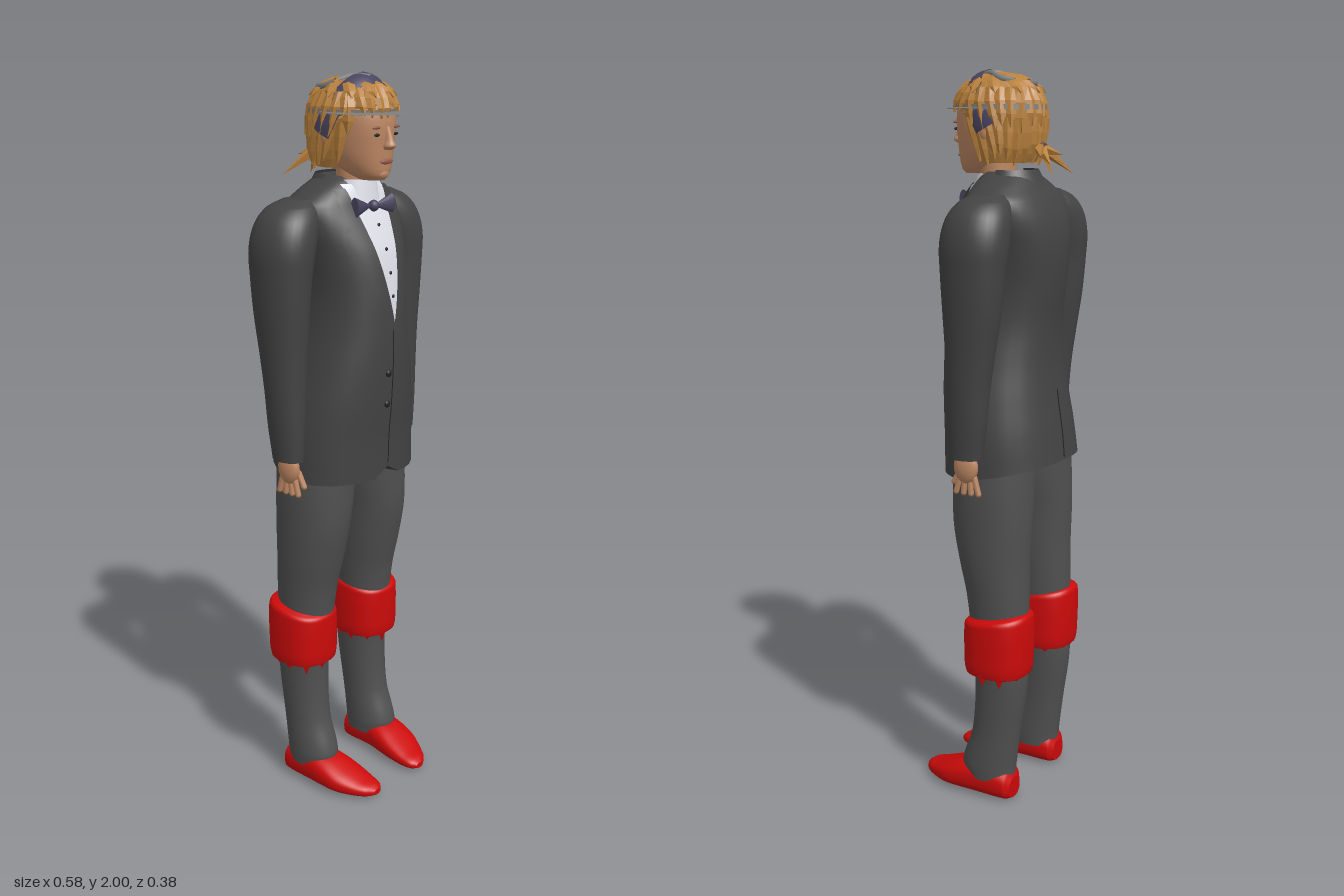
import * as THREE from 'three';
import { mergeGeometries } from 'three/addons/utils/BufferGeometryUtils.js';

const mat = (name, color, side = THREE.DoubleSide) => new THREE.MeshStandardMaterial({ name, color, side });

// Grid surface from f(u, v); closed wraps u, capped fills both ends
function sheet(nu, nv, f, closed = false, capped = false) {
  const n = closed ? nu : nu + 1, pos = [], idx = [];
  for (let j = 0; j <= nv; j++) for (let i = 0; i < n; i++) pos.push(...f(i / nu, j / nv));
  for (let j = 0; j < nv; j++) for (let i = 0; i < nu; i++) {
    const a = j * n + i, b = j * n + (i + 1) % n;
    idx.push(a, b, b + n, a, b + n, a + n);
  }
  if (capped) for (const j of [0, nv]) {
    const start = pos.length / 3, c = [0, 0, 0];
    for (let i = 0; i < nu; i++) {
      const p = pos.slice((j * n + i) * 3, (j * n + i) * 3 + 3);
      p.forEach((q, k) => { c[k] += q / nu; });
      pos.push(...p);
    }
    pos.push(...c);
    for (let i = 0; i < nu; i++) {
      const a = start + i, b = start + (i + 1) % nu;
      idx.push(start + nu, ...(j ? [a, b] : [b, a]));
    }
  }
  const g = new THREE.BufferGeometry();
  g.setAttribute('position', new THREE.Float32BufferAttribute(pos, 3));
  g.setIndex(idx);
  g.computeVertexNormals();
  return g;
}

// Smoothly interpolated cross-section [y, cx, cz, rx, rz]
function at(secs, y) {
  const last = secs.length - 1;
  y = Math.min(Math.max(y, secs[0][0]), secs[last][0]);
  let i = 0;
  while (i < last - 1 && y > secs[i + 1][0]) i++;
  const h = secs[i + 1][0] - secs[i][0], t = (y - secs[i][0]) / h;
  const slope = (j, k) => {
    const a = secs[Math.max(j - 1, 0)], b = secs[Math.min(j + 1, last)];
    return (b[k] - a[k]) / (b[0] - a[0]);
  };
  return secs[i].map((p, k) => k === 0 ? y : p * (1 + 2 * t) * (1 - t) ** 2 + secs[i + 1][k] * t * t * (3 - 2 * t)
    + h * slope(i, k) * t * (1 - t) ** 2 - h * slope(i + 1, k) * t * t * (1 - t));
}
const pw = (v, n) => Math.sign(v) * Math.abs(v) ** (2 / n);
function ring(secs, y, a, n = 2, grow = 0) {
  const [, cx, cz, rx, rz] = at(secs, y);
  return [cx + (rx + grow) * pw(Math.sin(a), n), y, cz + (rz + grow) * pw(Math.cos(a), n)];
}
function loft(secs, n = 2, rows = 5) {
  const m = secs.length - 1;
  return sheet(32, m * rows, (u, v) => {
    const i = Math.min(Math.floor(v * m + 1e-6), m - 1), t = v * m - i;
    return ring(secs, secs[i][0] + (secs[i + 1][0] - secs[i][0]) * t, u * Math.PI * 2, n);
  }, true, true);
}
// Rows [y, halfWidth, frontZ, backZ] as sections
const fb = rows => rows.map(([y, rx, f, b]) => [y, 0, (f + b) / 2, rx, (f - b) / 2]);
const flip = (secs, s) => secs.map(([y, cx, ...r]) => [y, cx * s, ...r]);
function surfaceZ(secs, x, y, n = 2, dir = 1) {
  const [, cx, cz, rx, rz] = at(secs, y);
  return cz + dir * rz * Math.max(0, 1 - Math.min(1, Math.abs((x - cx) / rx)) ** n) ** (1 / n);
}
// Thin panel lying on a body between x edges lo(y) and hi(y)
function panel(secs, y0, y1, lo, hi, off, n, dir = 1) {
  return sheet(8, 32, (u, v) => {
    const y = y0 + (y1 - y0) * v, x = dir > 0 ? lo(y) + (hi(y) - lo(y)) * u : hi(y) + (lo(y) - hi(y)) * u;
    return [x, y, surfaceZ(secs, x, y, n, dir) + off * dir];
  });
}
const blob = (x, y, z, rx, ry, rz) => new THREE.SphereGeometry(1, 16, 10).scale(rx, ry, rz).translate(x, y, z);
function spike(from, to, r, sides = 4) {
  const a = new THREE.Vector3(...from), d = new THREE.Vector3(...to).sub(a), len = d.length();
  const q = new THREE.Quaternion().setFromUnitVectors(new THREE.Vector3(0, 1, 0), d.normalize());
  return new THREE.ConeGeometry(r, len, sides).translate(0, len / 2, 0).applyQuaternion(q).translate(...from);
}
const flat = g => { const f = g.index ? g.toNonIndexed() : g; f.deleteAttribute('uv'); f.computeVertexNormals(); return f; };

const TORSO = fb([[0.94, 0.205, 0.14, -0.19], [1.05, 0.2, 0.142, -0.18], [1.15, 0.185, 0.15, -0.165], [1.25, 0.162, 0.155, -0.155],
  [1.35, 0.14, 0.155, -0.157], [1.45, 0.133, 0.148, -0.17], [1.55, 0.148, 0.128, -0.175], [1.62, 0.17, 0.098, -0.163],
  [1.67, 0.175, 0.072, -0.14], [1.7, 0.14, 0.062, -0.118], [1.73, 0.088, 0.05, -0.095], [1.742, 0.066, 0.035, -0.08]]);
const HEAD = fb([[1.735, 0.028, 0.115, 0.04], [1.75, 0.048, 0.124, 0], [1.78, 0.067, 0.128, -0.05], [1.82, 0.079, 0.131, -0.085],
  [1.87, 0.085, 0.134, -0.095], [1.91, 0.085, 0.128, -0.1], [1.95, 0.074, 0.105, -0.085], [1.98, 0.03, 0.05, -0.03]]);
const HAIR = fb([[1.75, 0.078, 0.05, -0.075], [1.8, 0.092, 0.085, -0.1], [1.86, 0.098, 0.115, -0.11], [1.91, 0.099, 0.13, -0.11],
  [1.95, 0.086, 0.118, -0.095], [1.975, 0.063, 0.093, -0.07], [1.99, 0.034, 0.058, -0.03], [1.995, 0.006, 0.025, 0.01]]);
const ARM = [[1.01, 0.226, -0.015, 0.034, 0.047], [1.1, 0.226, -0.02, 0.041, 0.055], [1.2, 0.224, -0.024, 0.049, 0.06], [1.3, 0.223, -0.03, 0.055, 0.069],
  [1.4, 0.222, -0.035, 0.063, 0.08], [1.5, 0.22, -0.037, 0.07, 0.088], [1.57, 0.213, -0.038, 0.077, 0.093], [1.63, 0.196, -0.039, 0.077, 0.086],
  [1.67, 0.172, -0.04, 0.068, 0.066], [1.69, 0.15, -0.04, 0.045, 0.04]];
const LEG = [[0.06, 0.127, -0.03, 0.058, 0.075], [0.1, 0.127, -0.028, 0.06, 0.08], [0.2, 0.126, -0.05, 0.058, 0.07], [0.35, 0.124, -0.065, 0.062, 0.076],
  [0.45, 0.122, -0.06, 0.067, 0.08], [0.6, 0.12, -0.052, 0.076, 0.089], [0.7, 0.118, -0.04, 0.084, 0.1], [0.8, 0.115, -0.032, 0.089, 0.112],
  [0.9, 0.107, -0.03, 0.097, 0.115], [1, 0.1, -0.03, 0.098, 0.115]];
const CUFF = [[0.38, 0.13, -0.06, 0.068, 0.076], [0.388, 0.13, -0.06, 0.084, 0.089], [0.45, 0.13, -0.061, 0.088, 0.094],
  [0.53, 0.13, -0.061, 0.087, 0.094], [0.545, 0.13, -0.06, 0.082, 0.089], [0.552, 0.13, -0.06, 0.066, 0.075]];
// Shoe sections run heel to toe before being laid down
const SHOE = [[-0.11, 0.13, -0.037, 0.03, 0.03], [-0.095, 0.13, -0.046, 0.048, 0.043], [0, 0.13, -0.051, 0.055, 0.048], [0.05, 0.126, -0.046, 0.06, 0.043],
  [0.1, 0.12, -0.036, 0.06, 0.033], [0.15, 0.108, -0.026, 0.047, 0.022], [0.18, 0.1, -0.022, 0.033, 0.015], [0.195, 0.096, -0.019, 0.014, 0.008]];

export function createModel() {
  const model = new THREE.Group();
  model.name = 'figure';
  const jacket = mat('charcoal jacket', 0x434343), trouser = mat('grey trousers', 0x505050), red = mat('red', 0xcc0a0a);
  const skin = mat('skin', 0xbd8763), hair = mat('golden hair', 0xb8803c), shirt = mat('white shirt', 0xdcdce6);
  const purple = mat('muted purple', 0x48445f), grey = mat('grey', 0x7c7c7c), dark = mat('dark trim', 0x222222), lip = mat('lips', 0x955c4b);
  const add = (name, geo, m) => { const mesh = new THREE.Mesh(geo, m); mesh.name = name; model.add(mesh); return mesh; };
  const merge = list => mergeGeometries(list.map(flat));
  let seed = 7;
  const rnd = () => (seed = (seed * 16807) % 2147483647) / 2147483647;

  // Jacket with a hem that rises at the back and at the front opening
  const body = loft(TORSO, 2.3), p = body.attributes.position;
  for (let i = 0; i < p.count; i++) {
    const x = p.getX(i), y = p.getY(i), z = p.getZ(i), k = Math.max(0, 1 - (y - 0.94) / 0.1);
    p.setY(i, y + k * (z < 0 ? -z * 0.2 : 0.03 * Math.exp(-((x / 0.03) ** 2))));
  }
  body.computeVertexNormals();
  add('jacketBody', body, jacket);
  add('jacketVent', panel(TORSO, 0.985, 1.17, () => -0.003, () => 0.003, 0.003, 2.3, -1), dark);
  add('jacketOpening', panel(TORSO, 0.98, 1.36, () => -0.002, () => 0.002, 0.002, 2.3), dark);
  const collarRows = fb([[1.695, 0.1, 0.03, -0.12], [1.745, 0.074, 0.03, -0.092]]);
  add('jacketCollar', sheet(24, 3, (u, v) => ring(collarRows, 1.695 + 0.052 * v, Math.PI * (0.42 + 1.16 * u))), jacket);

  // Shirt front, lapels, studs and buttons
  const gap = y => Math.max(0, 0.072 * (y - 1.36) / 0.35);
  add('shirtFront', panel(TORSO, 1.36, 1.725, y => -gap(y), gap, 0.005, 2.3), shirt);
  const lapel = y => gap(y) + (y < 1.6 ? 0.07 * Math.min(1, (y - 1.32) / 0.26) : y < 1.625 ? 0.07 - 1.2 * (y - 1.6) : 0.055 - 0.3 * (y - 1.625));
  for (const s of [1, -1]) {
    add('lapel', panel(TORSO, 1.32, 1.715, y => s > 0 ? gap(y) : -lapel(y), y => s > 0 ? lapel(y) : -gap(y), 0.009, 2.3), jacket);
  }
  for (const y of [1.235, 1.15]) add('jacketButton', blob(-0.015, y, surfaceZ(TORSO, 0, y, 2.3), 0.01, 0.01, 0.006), dark);
  for (const y of [1.44, 1.5, 1.56, 1.62]) add('shirtStud', blob(0, y, surfaceZ(TORSO, 0, y, 2.3) + 0.005, 0.005, 0.005, 0.003), dark);
  add('shirtCollar', loft([[1.68, 0, 0.02, 0.068, 0.062], [1.735, 0, 0.02, 0.057, 0.052]]), shirt);

  // Bow tie
  for (const s of [1, -1]) {
    add('bowWing', new THREE.ConeGeometry(0.027, 0.068, 12).scale(1, 1, 0.5).rotateZ(s * Math.PI / 2).translate(s * 0.037, 1.668, 0.083), purple);
  }
  add('bowKnot', blob(0, 1.668, 0.085, 0.015, 0.015, 0.015), purple);

  // Limbs, mirrored
  for (const s of [1, -1]) {
    add('sleeve', loft(flip(ARM, s), 2.1), jacket);
    add('trouserLeg', loft(flip(LEG, s), 2.1), trouser);
    const cuff = loft(flip(CUFF, s), 2.4), q = cuff.attributes.position;
    for (let i = 0; i < q.count; i++) q.setY(i, q.getY(i) - Math.max(0, q.getY(i) - 0.4) * 1.1 * (q.getZ(i) + 0.06));
    cuff.computeVertexNormals();
    add('kneeCuff', cuff, red);
    const tips = [];
    for (let i = 0; i < 9; i++) {
      const a = i / 9 * Math.PI * 2, r = 0.072, x = s * 0.13 + r * Math.sin(a), z = -0.06 + r * Math.cos(a);
      tips.push(spike([x, 0.392, z], [x, 0.352 + 0.02 * rnd(), z], 0.017));
    }
    add('cuffTips', merge(tips), red);
    add('shoe', loft(flip(SHOE, s), 2.5).rotateX(Math.PI / 2), red);
    add('palm', blob(s * 0.224, 0.985, -0.015, 0.02, 0.045, 0.036), skin);
    for (let i = 0; i < 5; i++) {
      const finger = new THREE.CapsuleGeometry(0.008, i ? 0.045 : 0.04, 4, 8).rotateX(i ? 0.18 * (2.5 - i) * -1 : -0.5);
      add(i ? 'finger' : 'thumb', finger.translate(s * (i ? 0.222 : 0.212), i ? 0.936 : 0.955, i ? 0.03 - i * 0.019 : 0.02), skin);
    }
  }

  // Head and face
  add('neck', loft([[1.66, 0, 0.015, 0.055, 0.052], [1.72, 0, 0.018, 0.05, 0.048], [1.8, 0, 0.02, 0.052, 0.05]]), skin);
  add('head', loft(HEAD, 2.15), skin);
  add('nose', loft([[1.813, 0, 0.132, 0.012, 0.012], [1.822, 0, 0.136, 0.016, 0.019], [1.835, 0, 0.133, 0.011, 0.016], [1.87, 0, 0.128, 0.007, 0.008]]), skin);
  add('mouth', blob(0, 1.783, surfaceZ(HEAD, 0, 1.783), 0.024, 0.007, 0.005), lip);
  add('chin', blob(0, 1.752, 0.112, 0.022, 0.016, 0.015), skin);
  for (const s of [1, -1]) {
    const face = (y, x) => surfaceZ(HEAD, x, y, 2.15);
    add('eye', blob(s * 0.034, 1.85, face(1.85, 0.034), 0.013, 0.004, 0.003), dark);
    add('eyebrow', blob(s * 0.035, 1.868, face(1.868, 0.035), 0.018, 0.004, 0.004), lip);
    add('ear', blob(s * 0.094, 1.845, 0.005, 0.012, 0.026, 0.015), skin);
  }

  // Hair shell, open round the face, with overlapping pointed locks
  const open = y => y > 1.93 ? 0 : 1.08 * Math.min(1, (1.93 - y) / 0.045);
  add('hairShell', flat(sheet(20, 14, (u, v) => {
    const y = 1.765 + 0.23 * (1 - (1 - v) ** 1.4), o = open(y);
    return ring(HAIR, y, o + u * (Math.PI * 2 - 2 * o));
  })), hair);
  const lock = (a, w, y0, y1, lean) => sheet(2, 3, (u, v) => {
    const y = y1 + (y0 - y1) * v, spread = w * (0.03 + 1.6 * v * (1.25 - v));
    return ring(HAIR, y, a + lean * (1 - v) + (u - 0.5) * 2 * spread, 2, 0.001 + (u === 0.5 ? 0.006 : 0) + 0.006 * (1 - v));
  });
  const locks = [];
  for (let i = 0; i < 17; i++) {
    const a = 1.15 + i / 16 * (Math.PI * 2 - 2.3), j = rnd() - 0.5;
    locks.push(lock(a, 0.22, 1.88, 1.755 + 0.03 * rnd(), j * 0.3), lock(a + 0.1, 0.24, 1.955, 1.83 + 0.03 * rnd(), j * 0.3));
  }
  for (let i = 0; i < 9; i++) locks.push(lock(-1.1 + i * 0.275, 0.2, 1.965, 1.885 + 0.018 * rnd(), (rnd() - 0.5) * 0.4));
  for (let i = 0; i < 11; i++) locks.push(lock(i / 11 * Math.PI * 2, 0.3, 1.988, 1.94, 0.2));
  add('hairLocks', merge(locks), hair);

  // Ponytail
  const tail = [-0.085, -0.055, -0.025, 0.01, 0.04, 0.075].map((x, i) => spike([x * 0.12, 1.8, -0.112], [x, 1.735 + (i % 3) * 0.025, -0.162 + (i % 2) * 0.012], 0.017));
  add('ponytail', merge(tail), hair);
  add('hairTie', new THREE.TorusGeometry(0.015, 0.006, 8, 16).translate(0, 1.796, -0.118), purple);

  // Headband over the crown
  add('headband', sheet(32, 4, (u, v) => {
    const a = (u - 0.5) * 3.3, w = (v - 0.5) * 0.058, c = Math.cos(a), dome = 0.006 * (1 - (2 * v - 1) ** 2);
    return [Math.sin(a) * (0.104 + dome), 1.862 + c * (0.125 + dome) + w * 0.46, 0.002 + c * 0.068 - w * 0.89];
  }), purple);

  // Visor brim, strap and crown straps
  add('visorBrim', sheet(32, 3, (u, v) => {
    const a = (u - 0.5) * 3.8, out = (1 - v) * 0.042 * Math.max(0, Math.cos(a * 0.82));
    return [Math.sin(a) * (0.103 + out * 0.5), 1.906 - out * 0.15, 0.01 + Math.cos(a) * (0.121 + out)];
  }), grey);
  add('visorStrap', sheet(40, 1, (u, v) => ring(HAIR, 1.899 + 0.013 * v, u * Math.PI * 2, 2, 0.006), true), grey);
  const crownY = (x, z) => {
    for (let y = 1.995; y > 1.8; y -= 0.002) {
      const [, , cz, rx, rz] = at(HAIR, y);
      if ((x / rx) ** 2 + ((z - cz) / rz) ** 2 < 1) return y;
    }
    return 1.8;
  };
  for (const path of [[[-0.06, 0.01], [-0.066, -0.03], [-0.045, -0.064], [-0.016, -0.08], [0.012, -0.078]],
    [[0.045, -0.056], [0.053, -0.02], [0.032, 0.018], [0, 0.066], [-0.025, 0.035], [-0.052, 0.01]]]) {
    const curve = new THREE.CatmullRomCurve3(path.map(([x, z]) => new THREE.Vector3(x, crownY(x, z), z)));
    add('crownStrap', new THREE.TubeGeometry(curve, 32, 0.009, 8), grey);
  }
  return model;
}
